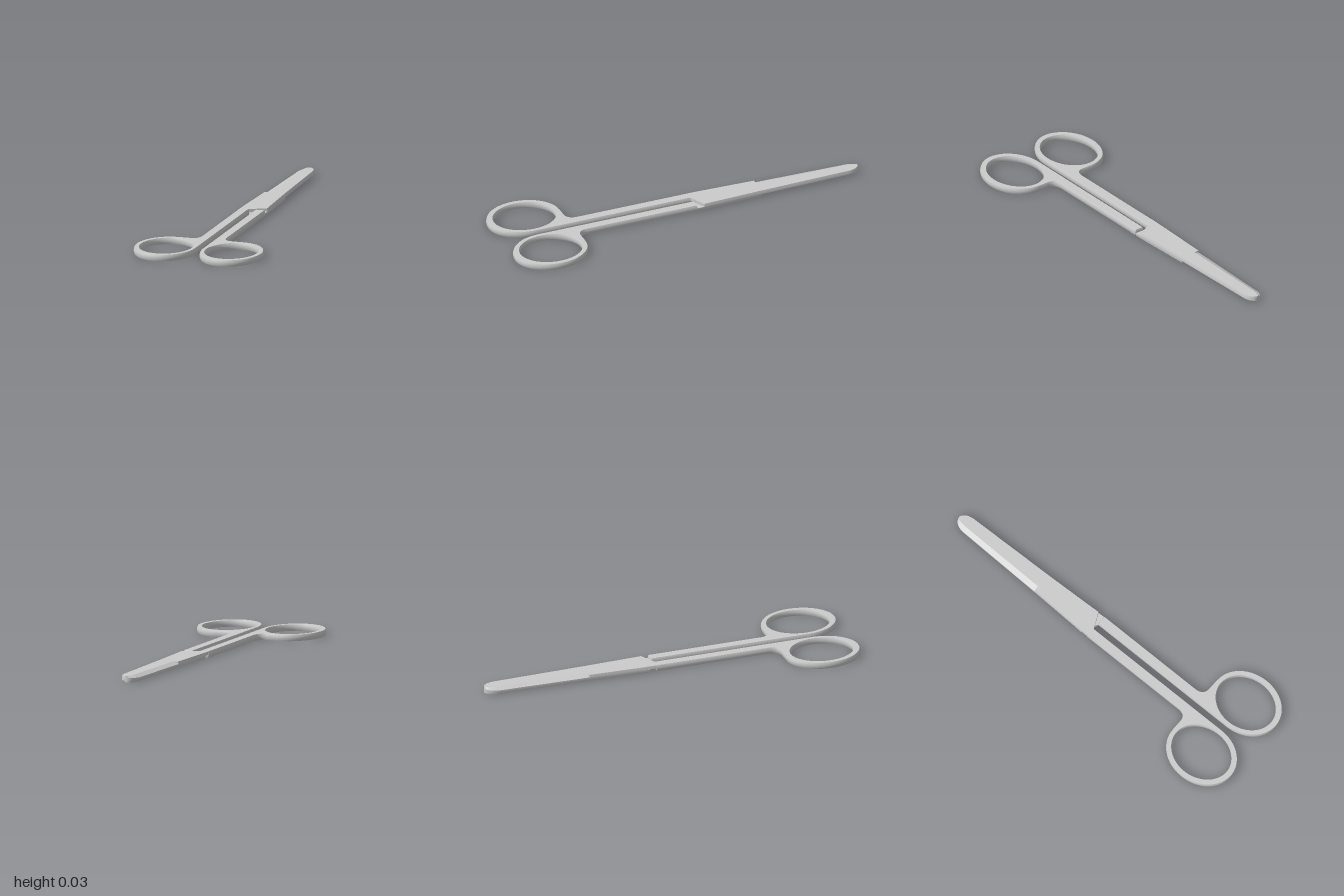
import * as THREE from 'three';
import { toCreasedNormals } from 'three/addons/utils/BufferGeometryUtils.js';

const H = 0.034;           // full thickness
const material = new THREE.MeshStandardMaterial({ color: 0xcccccc });

// Creasing welds points on a coarse grid, so it is done at a larger scale
const crease = (geo, angle) => toCreasedNormals(geo.scale(100, 100, 100), angle).scale(0.01, 0.01, 0.01);

// Straight shank and finger ring in one plate with flat faces and bulging sides
function handleGeometry() {
  const s = new THREE.Shape();
  s.moveTo(-0.017, -0.072);
  s.lineTo(-0.07, -0.072);
  s.lineTo(-0.07, 0.55);
  s.quadraticCurveTo(-0.072, 0.598, -0.115, 0.599);
  s.lineTo(-0.18, 0.599);
  s.absellipse(-0.18, 0.8, 0.163, 0.2, -Math.PI / 2, -2 * Math.PI, true);
  s.closePath();
  const hole = new THREE.Path();
  hole.absellipse(-0.178, 0.797, 0.135, 0.166, 0, Math.PI * 2, false);
  s.holes.push(hole);

  const h = H / 2;
  const geo = new THREE.ExtrudeGeometry(s, {
    depth: 0.0001, bevelThickness: h, bevelSize: 0.004,
    bevelOffset: -0.004, bevelSegments: 4, curveSegments: 40,
  });
  geo.rotateX(Math.PI / 2);
  // turn the quarter-ellipse rim into a shallow arc that meets the faces at a sharp edge
  const p = geo.attributes.position;
  for (let i = 0; i < p.count; i++) {
    const y = p.getY(i) + 0.00005;
    const u = Math.min(1, Math.abs(y) / h);
    p.setY(i, h + Math.sign(y) * h * Math.sqrt(1 - Math.sqrt(1 - u * u)));
  }
  return crease(geo, 0.5);
}

// Blade lofted from cross-sections; w = half width, b/d = width and depth of the edge grind
function bladeGeometry() {
  const rows = [];
  const section = (z, w, b, d, skew = false) => {
    const m = -0.017 * w / 0.07, y = H / 2;
    const pts = [[-w, y], [-w, H - d], [-w + b, H], [m, H],
      [w - Math.min(0.003, w * 0.3), H], [w, H - 0.012], [w, y], [m, y]];
    rows.push(pts.map(([x, py]) => {
      // the root is cut diagonally and runs on into the shank
      const pz = !skew ? z : x < m - 1e-6 ? -0.03 : z - 0.042 * (x - m) / (w - m);
      return [x, py, pz];
    }));
  };
  section(-0.07, 0.07, 0.003, 0.012, true);
  section(-0.16, 0.0675, 0.003, 0.012);
  section(-0.44, 0.0575, 0.003, 0.012);
  section(-0.4405, 0.0575, 0.03, 0.013);
  section(-0.7, 0.051, 0.028, 0.013);
  // rounded tip
  const steps = 14, r = 0.07;
  for (let i = 0; i <= steps; i++) {
    const a = (i / steps) * Math.PI / 2;
    const w = Math.max(0.0005, 0.045 * Math.cos(a));
    section(-(1 - r) - r * Math.sin(a), w, w * 0.58, 0.013 - 0.004 * Math.sin(a));
  }

  const n = rows[0].length, index = [];
  for (let i = 0; i < rows.length - 1; i++) {
    for (let j = 0; j < n; j++) {
      const a = i * n + j, b = i * n + (j + 1) % n;
      index.push(a, b, a + n, b, b + n, a + n);
    }
  }
  // end caps, fanned from the lower middle point
  const end = (rows.length - 1) * n;
  for (let j = 0; j < n - 2; j++) {
    index.push(n - 1, j + 1, j, end + n - 1, end + j, end + j + 1);
  }
  const geo = new THREE.BufferGeometry();
  geo.setAttribute('position', new THREE.Float32BufferAttribute(rows.flat(2), 3));
  geo.setIndex(index);
  return crease(geo, 0.35);
}

export function createModel() {
  const model = new THREE.Group();
  model.name = 'scissors';
  const handle = handleGeometry(), blade = bladeGeometry();

  // Two identical halves, the lower one turned over about the long axis
  for (const name of ['upperHalf', 'lowerHalf']) {
    const half = new THREE.Group();
    half.name = name;
    for (const [part, geo] of [['handle', handle], ['blade', blade]]) {
      const mesh = new THREE.Mesh(geo, material);
      mesh.name = part;
      half.add(mesh);
    }
    if (name === 'lowerHalf') {
      half.rotation.z = Math.PI;
      half.position.y = H;
    }
    model.add(half);
  }
  return model;
}
